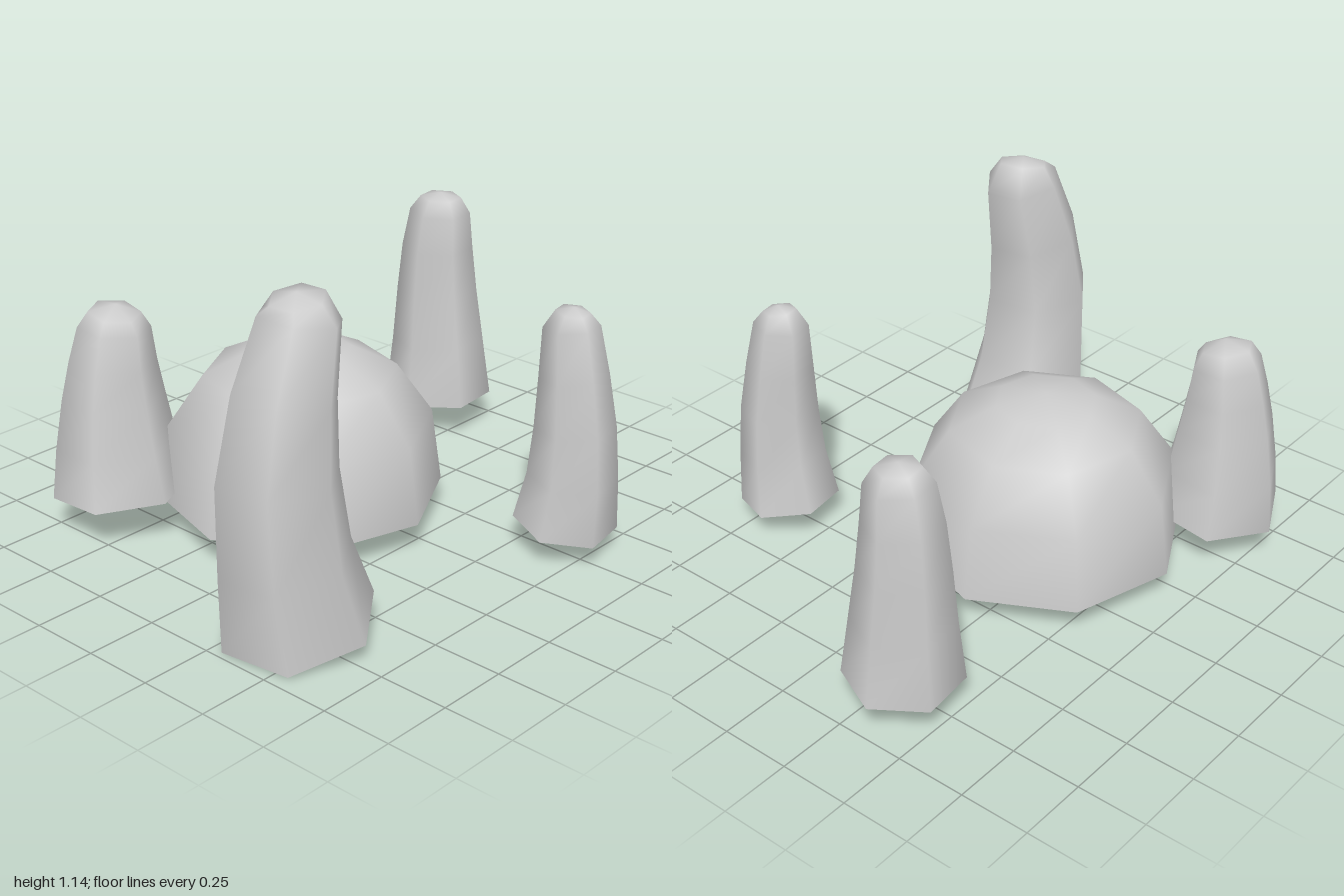
import * as THREE from 'three';

const material = new THREE.MeshStandardMaterial({ color: 0xcccccc, side: THREE.DoubleSide });
const UP = new THREE.Vector3(0, 1, 0);

// Open-bottomed smooth shell: rings of [x, y, z, radius] set square to their path,
// closed by a single apex at the last station.
function shell(name, sides, turnDegrees, stations) {
  const centres = stations.map(([x, y, z]) => new THREE.Vector3(x, y, z));
  const last = stations.length - 1;
  const turn = THREE.MathUtils.degToRad(turnDegrees);
  const positions = [];
  const index = [];
  for (let i = 0; i < last; i++) {
    const tangent = centres[i + 1].clone().sub(centres[Math.max(i - 1, 0)]).normalize();
    const tilt = new THREE.Quaternion().setFromUnitVectors(UP, tangent);
    const radius = stations[i][3];
    for (let s = 0; s < sides; s++) {
      const a = turn + (s / sides) * Math.PI * 2;
      const p = new THREE.Vector3(Math.cos(a) * radius, 0, Math.sin(a) * radius);
      positions.push(...p.applyQuaternion(tilt).add(centres[i]).toArray());
      const lower = i * sides + s;
      const lowerNext = i * sides + ((s + 1) % sides);
      if (i < last - 1) {
        index.push(lower, lower + sides, lowerNext);
        index.push(lowerNext, lower + sides, lowerNext + sides);
      } else {
        index.push(lower, last * sides, lowerNext);
      }
    }
  }
  positions.push(...centres[last].toArray());
  const geometry = new THREE.BufferGeometry();
  geometry.setAttribute('position', new THREE.Float32BufferAttribute(positions, 3));
  geometry.setIndex(index);
  geometry.computeVertexNormals();
  const mesh = new THREE.Mesh(geometry, material);
  mesh.name = name;
  return mesh;
}

export function createModel() {
  const group = new THREE.Group();
  group.name = 'domeAndPillars';

  // Low eight-sided dome
  const dome = [[0.105, 0.495], [0.37, 0.46], [0.55, 0.335], [0.63, 0.175], [0.66, 0]];
  group.add(shell('dome', 8, -6, dome.map(([y, r]) => [-0.18, y, 0.13, r])));

  // Tall pillar, bowed forward
  group.add(shell('tallFrontPillar', 6, -6, [
    [0.4, 0.055, 0.745, 0.26],
    [0.4, 0.3, 0.8, 0.22],
    [0.395, 0.58, 0.82, 0.2],
    [0.395, 0.83, 0.785, 0.172],
    [0.397, 1.06, 0.72, 0.138],
    [0.4, 1.125, 0.73, 0.09],
    [0.4, 1.145, 0.735, 0],
  ]));

  // Short stout pillar beside the dome
  group.add(shell('shortFrontPillar', 6, 3, [
    [-0.585, 0.14, 0.605, 0.237],
    [-0.6, 0.31, 0.605, 0.208],
    [-0.603, 0.48, 0.605, 0.177],
    [-0.603, 0.61, 0.6, 0.15],
    [-0.6, 0.73, 0.59, 0.125],
    [-0.595, 0.785, 0.59, 0.09],
    [-0.585, 0.815, 0.59, 0],
  ]));

  // Slim pillar, bowed outward
  group.add(shell('slimBackPillar', 6, 21, [
    [0.655, 0.1, -0.285, 0.177],
    [0.678, 0.28, -0.285, 0.153],
    [0.68, 0.46, -0.285, 0.137],
    [0.67, 0.64, -0.28, 0.117],
    [0.652, 0.81, -0.28, 0.095],
    [0.655, 0.862, -0.28, 0.058],
    [0.66, 0.878, -0.28, 0],
  ]));

  // Rear pillar, nearly upright
  group.add(shell('rearPillar', 6, 24, [
    [-0.345, 0.128, -0.8, 0.2],
    [-0.35, 0.35, -0.8, 0.172],
    [-0.358, 0.55, -0.8, 0.15],
    [-0.358, 0.72, -0.8, 0.132],
    [-0.348, 0.86, -0.8, 0.112],
    [-0.345, 0.915, -0.8, 0.075],
    [-0.345, 0.932, -0.8, 0],
  ]));

  return group;
}
